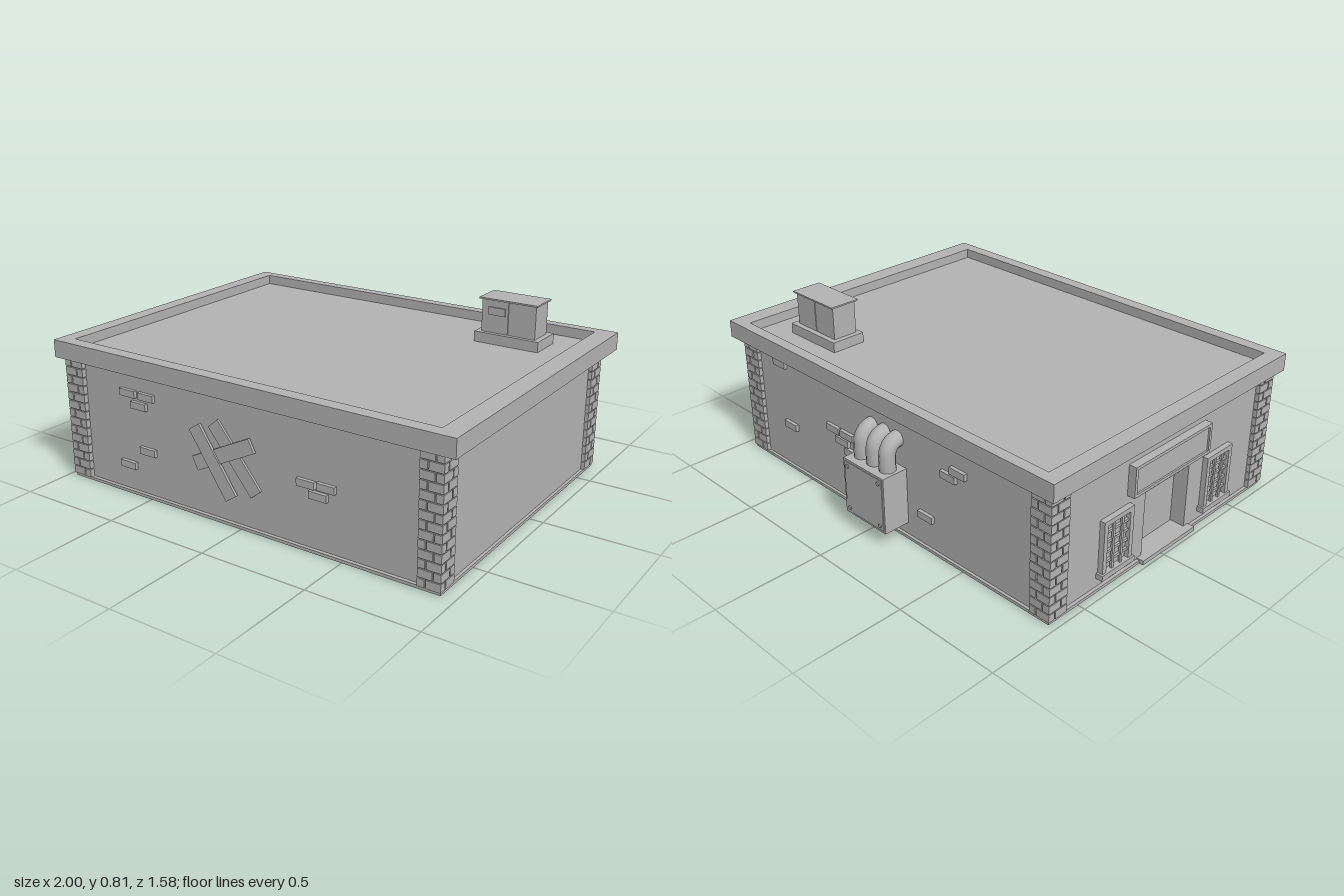
import * as THREE from 'three';

export function createModel() {
  const root = new THREE.Group();
  root.name = 'building';
  const grey = new THREE.MeshStandardMaterial({ color: 0xb2b2b2 });
  grey.name = 'concrete grey';

  const add = (name, geo, parent = root) => {
    const m = new THREE.Mesh(geo, grey);
    m.name = name;
    parent.add(m);
    return m;
  };
  const group = (name) => {
    const g = new THREE.Group();
    g.name = name;
    root.add(g);
    return g;
  };
  // box given by its min and max corners
  const box = (name, x0, x1, y0, y1, z0, z1, parent) => {
    const m = add(name, new THREE.BoxGeometry(x1 - x0, y1 - y0, z1 - z0), parent);
    m.position.set((x0 + x1) / 2, (y0 + y1) / 2, (z0 + z1) / 2);
    return m;
  };
  const rect = (C, x0, x1, y0, y1) => new C([
    new THREE.Vector2(x0, y0), new THREE.Vector2(x1, y0),
    new THREE.Vector2(x1, y1), new THREE.Vector2(x0, y1)]);

  // main walls and base skirt
  box('walls', -0.88, 0.925, 0, 0.58, -0.655, 0.74);
  box('baseSkirt', -0.965, 0.938, 0, 0.014, -0.668, 0.756);

  // entrance wall with a recessed doorway
  const wall = rect(THREE.Shape, -0.655, 0.74, 0.005, 0.58);
  wall.holes.push(rect(THREE.Path, -0.09, 0.2, 0.014, 0.32));
  const wallGeo = new THREE.ExtrudeGeometry(wall, { depth: 0.07, bevelEnabled: false });
  wallGeo.rotateY(-Math.PI / 2); // shape x becomes z, depth runs to -x
  add('entranceWall', wallGeo).position.x = -0.88;
  box('doorPanel', -0.882, -0.872, 0.014, 0.315, -0.085, 0.195);
  box('doorStep', -0.985, -0.88, 0, 0.02, -0.12, 0.23);

  // roof slab with raised rim
  const rim = rect(THREE.Shape, -1, 1, -0.79, 0.70);
  rim.holes.push(rect(THREE.Path, -0.93, 0.91, -0.73, 0.65));
  const rimGeo = new THREE.ExtrudeGeometry(rim, { depth: 0.08, bevelEnabled: false });
  rimGeo.rotateX(-Math.PI / 2);
  add('roofRim', rimGeo).position.y = 0.57;
  box('roofDeck', -0.94, 0.92, 0.571, 0.605, -0.66, 0.74);

  // brick corner pillars: rows split alternately along x and z
  const rows = 14, rowH = 0.556 / rows, gap = 0.003;
  for (const [x0, z0] of [[-0.97, 0.66], [0.84, 0.66], [-0.97, -0.673], [0.84, -0.673]]) {
    const p = group('cornerPillar');
    const s = 0.102, outX = x0 < 0, outZ = z0 < 0;
    box('mortarCore', x0 + 0.006, x0 + s - 0.006, 0.014, 0.57, z0 + 0.006, z0 + s - 0.006, p);
    for (let i = 0; i < rows; i++) {
      const y0 = 0.014 + i * rowH, y1 = y0 + rowH - gap * 1.5;
      const near = i % 2 ? 0.34 : 0.66;
      const cx = x0 + s * (outX ? near : 1 - near);
      const cz = z0 + s * (outZ ? 1 - near : near);
      for (const [a, b] of [[x0, cx - gap], [cx + gap, x0 + s]])
        for (const [c, d] of [[z0, cz - gap], [cz + gap, z0 + s]])
          box('pillarBrick', a, b, y0, y1, c, d, p);
    }
  }

  // loose bricks standing out of the walls
  const bricks = (name, z, list) => {
    const g = group(name);
    for (const [x, y] of list) box('brick', x - 0.043, x + 0.043, y - 0.016, y + 0.016, z - 0.014, z + 0.014, g);
  };
  bricks('frontBricks', 0.742, [[-0.61, 0.47], [-0.505, 0.47], [-0.55, 0.422], [-0.51, 0.22],
    [-0.63, 0.134], [0.328, 0.29], [0.424, 0.294], [0.386, 0.25]]);
  bricks('backBricks', -0.657, [[0.68, 0.53], [0.63, 0.23], [0.31, 0.34], [0.215, 0.34],
    [0.25, 0.3], [0.19, 0.262], [-0.475, 0.45], [-0.42, 0.412], [-0.28, 0.16]]);

  // crossed boards on the front
  const boards = group('crossedBoards');
  for (const [x, y, len, deg, z] of [[-0.03, 0.305, 0.34, -51, 0.744],
    [-0.085, 0.312, 0.335, 26, 0.751], [-0.135, 0.268, 0.335, -56.5, 0.758]]) {
    const b = add('board', new THREE.BoxGeometry(len, 0.065, 0.012), boards);
    b.position.set(x, y, z);
    b.rotation.z = deg * Math.PI / 180;
  }

  // barred windows beside the door
  for (const zc of [-0.28, 0.39]) {
    const w = group('barredWindow');
    const a = zc - 0.09, b = zc + 0.09, y0 = 0.06, y1 = 0.32, x0 = -0.975, x1 = -0.94;
    box('windowPane', -0.955, x1, y0, y1, a, b, w);
    box('frameSide', x0, x1, y0, y1, a, a + 0.022, w);
    box('frameSide', x0, x1, y0, y1, b - 0.022, b, w);
    box('frameTop', x0, x1, y1 - 0.022, y1, a, b, w);
    box('windowSill', x0 - 0.008, x1, y0 - 0.005, y0 + 0.02, a - 0.01, b + 0.01, w);
    for (let i = 1; i < 5; i++) {
      const y = y0 + 0.015 + i * 0.046;
      box('crossBar', -0.967, -0.957, y - 0.006, y + 0.006, a, b, w);
    }
    for (const t of [-0.026, 0.026])
      box('uprightBar', -0.972, -0.962, y0, y1, zc + t - 0.006, zc + t + 0.006, w);
  }

  // blank sign board over the door
  const sign = group('signBoard');
  box('signPanel', -0.978, -0.94, 0.365, 0.495, -0.2, 0.28, sign);
  box('signFrameTop', -0.986, -0.94, 0.486, 0.5, -0.21, 0.29, sign);
  box('signFrameBottom', -0.986, -0.94, 0.36, 0.374, -0.21, 0.29, sign);
  for (const z of [-0.21, 0.276]) box('signFrameSide', -0.986, -0.94, 0.374, 0.486, z, z + 0.014, sign);

  // utility cabinet with three bent pipes on the back
  const unit = group('utilityCabinet');
  box('cabinet', -0.16, 0.095, 0.072, 0.335, -0.78, -0.65, unit);
  box('cabinetDoor', -0.15, 0.085, 0.082, 0.325, -0.783, -0.775, unit);
  for (const x of [-0.13, 0.065]) for (const y of [0.102, 0.305]) {
    const bolt = add('bolt', new THREE.CylinderGeometry(0.009, 0.009, 0.012, 8), unit);
    bolt.rotation.x = Math.PI / 2;
    bolt.position.set(x, y, -0.782);
  }
  for (const x of [-0.112, -0.032, 0.048]) {
    const path = new THREE.CatmullRomCurve3([[0.33, -0.714], [0.385, -0.714], [0.425, -0.708],
      [0.452, -0.685], [0.462, -0.64]].map(([y, z]) => new THREE.Vector3(x, y, z)));
    add('bentPipe', new THREE.TubeGeometry(path, 14, 0.036, 14), unit);
  }

  // rooftop housing on a plinth
  const top = group('rooftopHousing');
  box('plinth', 0.46, 0.77, 0.6, 0.652, -0.52, -0.355, top);
  box('housingLeft', 0.485, 0.613, 0.65, 0.804, -0.495, -0.375, top);
  box('housingRight', 0.617, 0.745, 0.65, 0.804, -0.495, -0.375, top);
  box('housingCore', 0.49, 0.74, 0.65, 0.8, -0.49, -0.38, top);
  box('housingLid', 0.475, 0.755, 0.803, 0.81, -0.507, -0.363, top);
  box('handle', 0.52, 0.6, 0.735, 0.77, -0.376, -0.368, top);

  return root;
}
